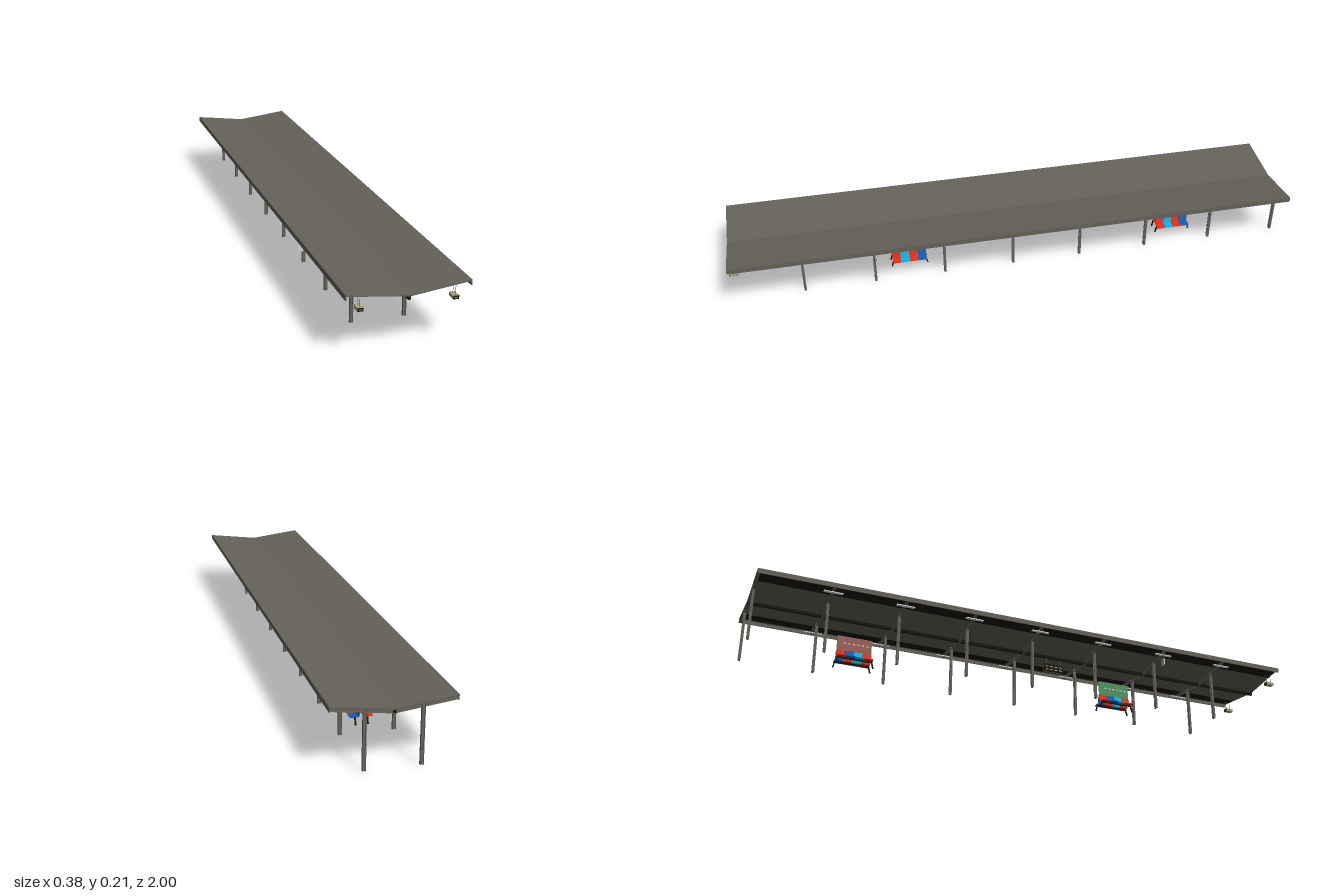
import * as THREE from 'three';

const mat = (name, color) => {
  const m = new THREE.MeshStandardMaterial({ color });
  m.name = name;
  return m;
};

export function createModel() {
  const steel = mat('grey steel', 0x656259);
  const black = mat('black', 0x17160f);
  const lampWhite = mat('lamp white', 0xffffff);
  const white = mat('light grey', 0xcfcfcf);
  const red = mat('red', 0xe0321c);
  const cyan = mat('cyan', 0x14b4ea);
  const blue = mat('blue', 0x1c5cb0);
  const green = mat('green', 0x4f9560);
  const brown = mat('brown red', 0x9a6259);
  const cream = mat('khaki', 0xa8a27c);

  const model = new THREE.Group();
  model.name = 'platformCanopy';

  const box = (parent, name, m, w, h, d, x, y, z) => {
    const mesh = new THREE.Mesh(new THREE.BoxGeometry(w, h, d), m);
    mesh.name = name;
    mesh.position.set(x, y, z);
    parent.add(mesh);
    return mesh;
  };
  const group = (name, parent = model) => {
    const g = new THREE.Group();
    g.name = name;
    parent.add(g);
    return g;
  };

  // Height of the butterfly roof at x, and a sloped band below it
  const half = 0.19, slope = 0.126;
  const roofY = (x) => 0.184 + slope * Math.abs(x);
  const band = (parent, name, m, top, bottom, x0, x1, z, depth) => {
    const s = new THREE.Shape();
    const xs = x0 < 0 && x1 > 0 ? [x0, 0, x1] : [x0, x1];
    xs.forEach((x, i) => (i ? s.lineTo(x, roofY(x) - bottom) : s.moveTo(x, roofY(x) - bottom)));
    [...xs].reverse().forEach((x) => s.lineTo(x, roofY(x) - top));
    const mesh = new THREE.Mesh(new THREE.ExtrudeGeometry(s, { depth, bevelEnabled: false }), m);
    mesh.name = name;
    mesh.position.z = z - depth / 2;
    parent.add(mesh);
  };

  // Roof sheet, dark ceiling strips, edge beams and ridge beam
  const roof = group('roof');
  band(roof, 'roofSheet', steel, 0, 0.004, -half, half, 0, 2);
  for (const s of [-1, 1]) {
    band(roof, 'ceilingStrip', black, 0.0039, 0.0045, Math.min(s * 0.125, s * 0.175), Math.max(s * 0.125, s * 0.175), 0, 1.99);
    box(roof, 'edgeBeam', steel, 0.003, 0.0155, 2, s * (half - 0.0015), 0.1985, 0);
  }
  box(roof, 'centreBeam', black, 0.008, 0.013, 2, 0, 0.1765, 0);

  // Eight frames: I-section rafter on two H-section posts, with lamps
  for (let i = 0; i < 8; i++) {
    const z = 0.756 - i * 0.25;
    const frame = group('frame');
    band(frame, 'rafterWeb', steel, 0.004, 0.015, -half + 0.002, half - 0.002, z, 0.002);
    band(frame, 'rafterTopFlange', steel, 0.004, 0.006, -half + 0.002, half - 0.002, z, 0.008);
    band(frame, 'rafterBottomFlange', steel, 0.0135, 0.0155, -half + 0.002, half - 0.002, z, 0.008);
    for (const s of [-1, 1]) {
      const x = s * 0.086;
      box(frame, 'postWeb', steel, 0.009, 0.19, 0.0025, x, 0.095, z);
      for (const t of [-1, 1]) {
        box(frame, 'postFlange', steel, 0.002, 0.19, 0.0085, x + t * 0.0045, 0.095, z);
      }
      if (i < 7) {
        const lamp = box(frame, 'lamp', lampWhite, 0.009, 0.003, 0.065, s * 0.16, roofY(0.16) - 0.0175, z);
        lamp.rotation.z = s * Math.atan(slope);
      }
    }
  }

  // Benches: back-to-back seats around an upright board
  const rightSeats = [red, cyan, red, blue];
  const leftSeats = [red, cyan, blue, red];
  const addBench = (z0, boardColour) => {
    const bench = group('bench');
    bench.position.z = z0;
    box(bench, 'board', boardColour, 0.002, 0.064, 0.122, 0, 0.082, 0);
    box(bench, 'boardPoster', red, 0.0006, 0.026, 0.012, 0.0014, 0.09, -0.054);
    for (const s of [-1, 1]) {
      for (let i = 0; i < 6; i++) {
        box(bench, 'boardMark', white, 0.001, 0.005, 0.008, s * 0.0015, 0.088, -0.034 + i * 0.016);
      }
      const side = group('seatRow', bench);
      box(side, 'seatRail', black, 0.006, 0.003, 0.12, s * 0.02, 0.0225, 0);
      for (const t of [-1, 1]) {
        // Legs splay towards the bench ends
        const leg = box(side, 'seatLeg', black, 0.005, 0.025, 0.004, s * 0.02, 0.0125, t * 0.062);
        leg.rotation.x = -t * 0.25;
      }
      (s > 0 ? rightSeats : leftSeats).forEach((m, i) => {
        const z = 0.0465 - i * 0.031;
        box(side, 'seat', m, 0.028, 0.003, 0.03, s * 0.023, 0.0265, z);
        const back = box(side, 'seatBack', m, 0.0025, 0.033, 0.03, s * 0.0055, 0.0425, z);
        back.rotation.z = s * 0.2;
      });
    }
  };
  addBench(0.375, green);
  addBench(-0.625, brown);

  // Central hanging display
  const display = group('hangingDisplay');
  display.position.z = 0.128;
  box(display, 'displayCase', steel, 0.005, 0.035, 0.08, 0, 0.132, 0);
  for (const s of [-1, 1]) {
    box(display, 'displayFace', black, 0.0006, 0.033, 0.078, s * 0.0027, 0.132, 0);
    box(display, 'displayRod', steel, 0.002, 0.024, 0.002, 0, 0.16, s * 0.03);
    for (let r = 0; r < 2; r++) {
      for (let i = 0; i < 4; i++) {
        box(display, 'displayMark', cream, 0.0006, 0.004, 0.011, s * 0.0033, 0.126 + r * 0.012, -0.027 + i * 0.018);
      }
    }
  }

  for (const s of [-1, 1]) {
    // Small end signs
    const sign = group('endSign');
    sign.position.set(s * 0.144, 0.157, 0.982);
    box(sign, 'signCase', cream, 0.018, 0.011, 0.028, 0, 0, 0);
    for (const t of [-1, 1]) {
      box(sign, 'signFace', black, 0.018, 0.011, 0.001, 0, 0, t * 0.0144);
      box(sign, 'signMark', cream, 0.011, 0.002, 0.0006, 0, 0, t * 0.0151);
      box(sign, 'signRod', steel, 0.001, 0.038, 0.001, 0, 0.024, t * 0.009);
    }

    // Pale hanging panels, dotted on one face
    const panel = group('hangingPanel');
    panel.position.set(s * 0.168, 0.153, 0.5);
    if (s < 0) panel.rotation.y = Math.PI;
    box(panel, 'panelPlate', white, 0.018, 0.023, 0.004, 0, 0, 0);
    box(panel, 'panelRod', steel, 0.0015, 0.034, 0.0015, 0, 0.0275, 0);
    for (let r = 0; r < 3; r++) {
      for (const c of [-1, 1]) {
        box(panel, 'panelDot', black, 0.0022, 0.0022, 0.0006, c * 0.0035, (r - 1) * 0.0065, 0.0022);
      }
    }
  }

  return model;
}
